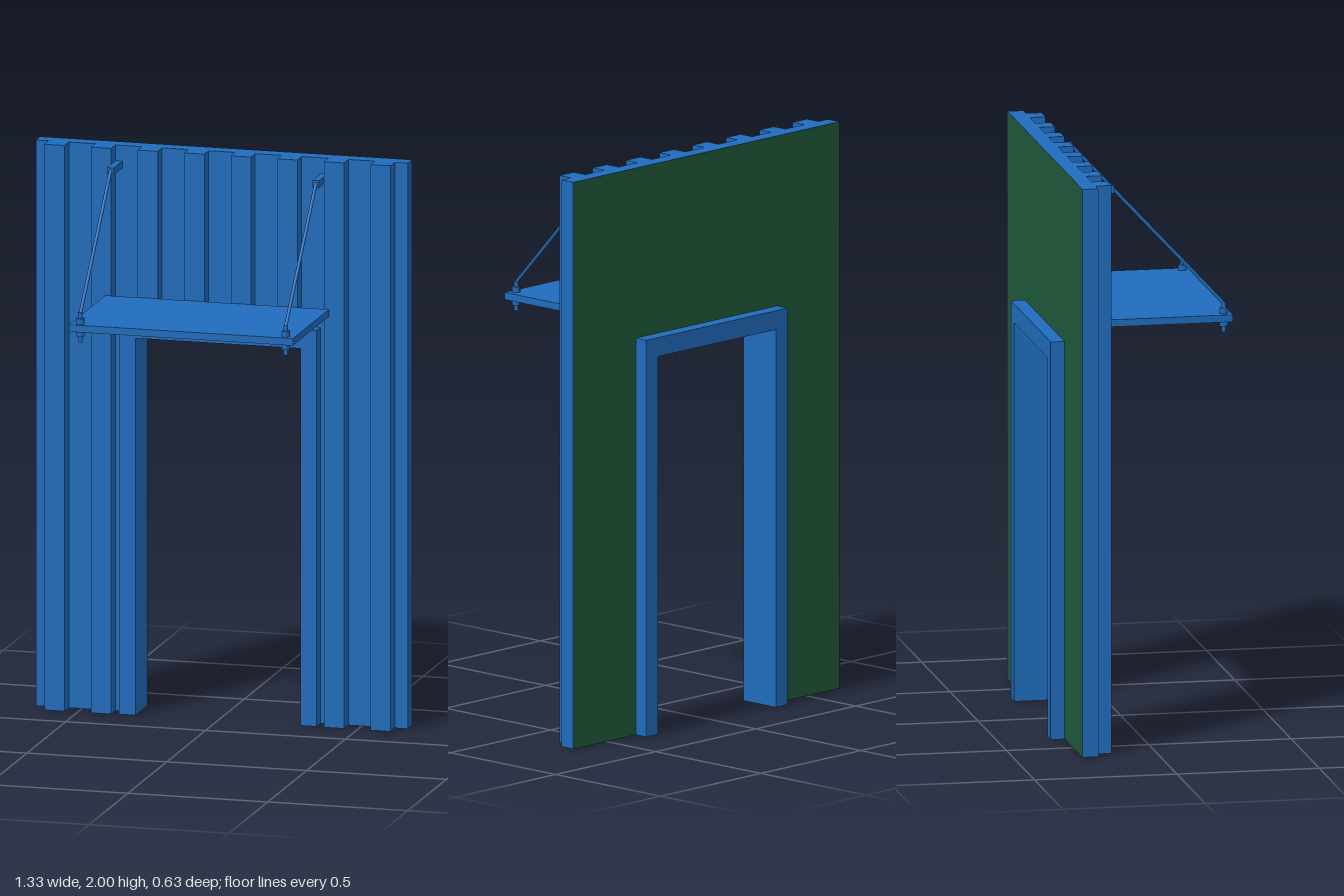
import * as THREE from 'three';

const blue = new THREE.MeshStandardMaterial({ color: 0x206cbc });
const green = new THREE.MeshStandardMaterial({ color: 0x1f5a3c });
const amber = new THREE.MeshStandardMaterial({ color: 0xc08a50 });

// Box given by its limits on each axis
function box(name, [x0, x1], [y0, y1], [z0, z1], material = blue) {
  const mesh = new THREE.Mesh(new THREE.BoxGeometry(x1 - x0, y1 - y0, z1 - z0), material);
  mesh.position.set((x0 + x1) / 2, (y0 + y1) / 2, (z0 + z1) / 2);
  mesh.name = name;
  return mesh;
}

// Round bar between two points
function bar(name, a, b, radius, sides = 8) {
  const dir = b.clone().sub(a);
  const mesh = new THREE.Mesh(new THREE.CylinderGeometry(radius, radius, dir.length(), sides), blue);
  mesh.position.copy(a).add(b).multiplyScalar(0.5);
  mesh.quaternion.setFromUnitVectors(new THREE.Vector3(0, 1, 0), dir.normalize());
  mesh.name = name;
  return mesh;
}

// Upside-down U outline around a doorway
function archShape(w, h, doorW, doorH) {
  return new THREE.Shape([
    [-w, 0], [-doorW, 0], [-doorW, doorH], [doorW, doorH],
    [doorW, 0], [w, 0], [w, h], [-w, h],
  ].map(([x, y]) => new THREE.Vector2(x, y)));
}

function arch(name, shape, z0, z1) {
  const mesh = new THREE.Mesh(
    new THREE.ExtrudeGeometry(shape, { depth: z1 - z0, bevelEnabled: false }), blue);
  mesh.position.z = z0;
  mesh.name = name;
  return mesh;
}

export function createModel() {
  const model = new THREE.Group();
  model.name = 'canopyDoorway';

  // Wall sheet with its green inner face
  const wallShape = archShape(0.665, 2, 0.35, 1.4);
  model.add(arch('wall', wallShape, -0.265, -0.21));
  const lining = new THREE.Mesh(new THREE.ShapeGeometry(wallShape), green);
  lining.name = 'innerLining';
  lining.rotation.y = Math.PI;
  lining.position.z = -0.266;
  model.add(lining);

  // Corrugation ribs, shortened above the doorway
  for (let i = 0; i < 8; i++) {
    const x = (i - 3.5) * 0.1665;
    const bottom = Math.abs(x) < 0.35 ? 1.45 : 0;
    model.add(box('wallRib', [x - 0.036, x + 0.036], [bottom, 2], [-0.21, -0.155]));
  }

  // Door frame
  model.add(arch('doorFrame', archShape(0.353, 1.4, 0.295, 1.333), -0.315, -0.16));

  // Canopy with thin strips below
  model.add(box('canopy', [-0.4, 0.4], [1.455, 1.48], [-0.15, 0.315]));
  for (const z of [0.2, 0.085, -0.03])
    model.add(box('canopyStrip', [-0.35, 0.35], [1.45, 1.455], [z - 0.006, z + 0.006], amber));

  // Hanger on each side: wall bracket, rod, bolt and nuts
  for (const side of [-1, 1]) {
    const x = side * 0.367;
    const at = (y, z) => new THREE.Vector3(x, y, z);
    const hanger = new THREE.Group();
    hanger.name = side > 0 ? 'leftHanger' : 'rightHanger';
    hanger.add(
      box('wallBracket', [x - 0.012, x + 0.012], [1.92, 1.945], [-0.21, -0.097]),
      bar('rod', at(1.935, -0.1), at(1.515, 0.29), 0.006),
      bar('bolt', at(1.415, 0.29), at(1.52, 0.29), 0.008),
      bar('upperNut', at(1.48, 0.29), at(1.5, 0.29), 0.015, 6),
      bar('lowerNut', at(1.435, 0.29), at(1.455, 0.29), 0.015, 6),
    );
    model.add(hanger);
  }
  return model;
}
